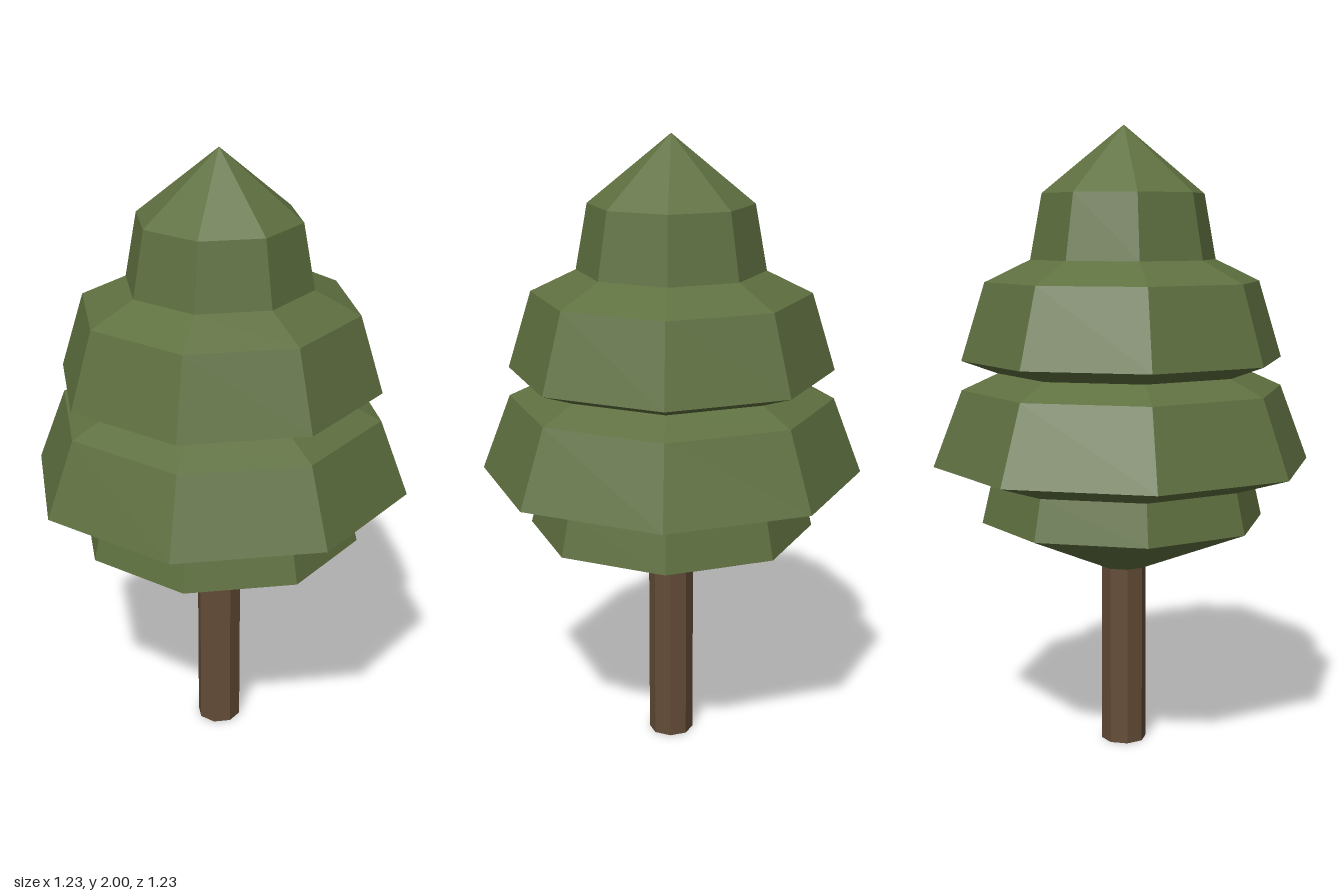
import * as THREE from 'three';

const SIDES = 8;

export function createModel() {
  const tree = new THREE.Group();
  tree.name = 'tree';

  const leafGreen = new THREE.MeshStandardMaterial({ color: 0x5f7040, flatShading: true });
  leafGreen.name = 'leaf green';
  const barkBrown = new THREE.MeshStandardMaterial({ color: 0x644c37, flatShading: true });
  barkBrown.name = 'bark brown';

  // Eight-sided trunk, reaching just inside the foliage
  const trunk = new THREE.Mesh(new THREE.CylinderGeometry(0.073, 0.073, 0.6, SIDES), barkBrown);
  trunk.name = 'trunk';
  trunk.position.y = 0.3;
  tree.add(trunk);

  // Stacked foliage tiers as one faceted profile: [radius, height]
  const profile = [
    [0, 0.585], [0.073, 0.585], [0.46, 0.74], // underside
    [0.43, 0.87], [0.613, 0.926], // skirt and wide tier
    [0.52, 1.17], [0.405, 1.222], [0.52, 1.263], // notch and middle tier
    [0.444, 1.51], [0.299, 1.58], // shoulder
    [0.261, 1.787], [0, 2], // crown and tip
  ].map(([r, y]) => new THREE.Vector2(r, y));
  const foliage = new THREE.Mesh(new THREE.LatheGeometry(profile, SIDES), leafGreen);
  foliage.name = 'foliage';
  tree.add(foliage);

  return tree;
}
